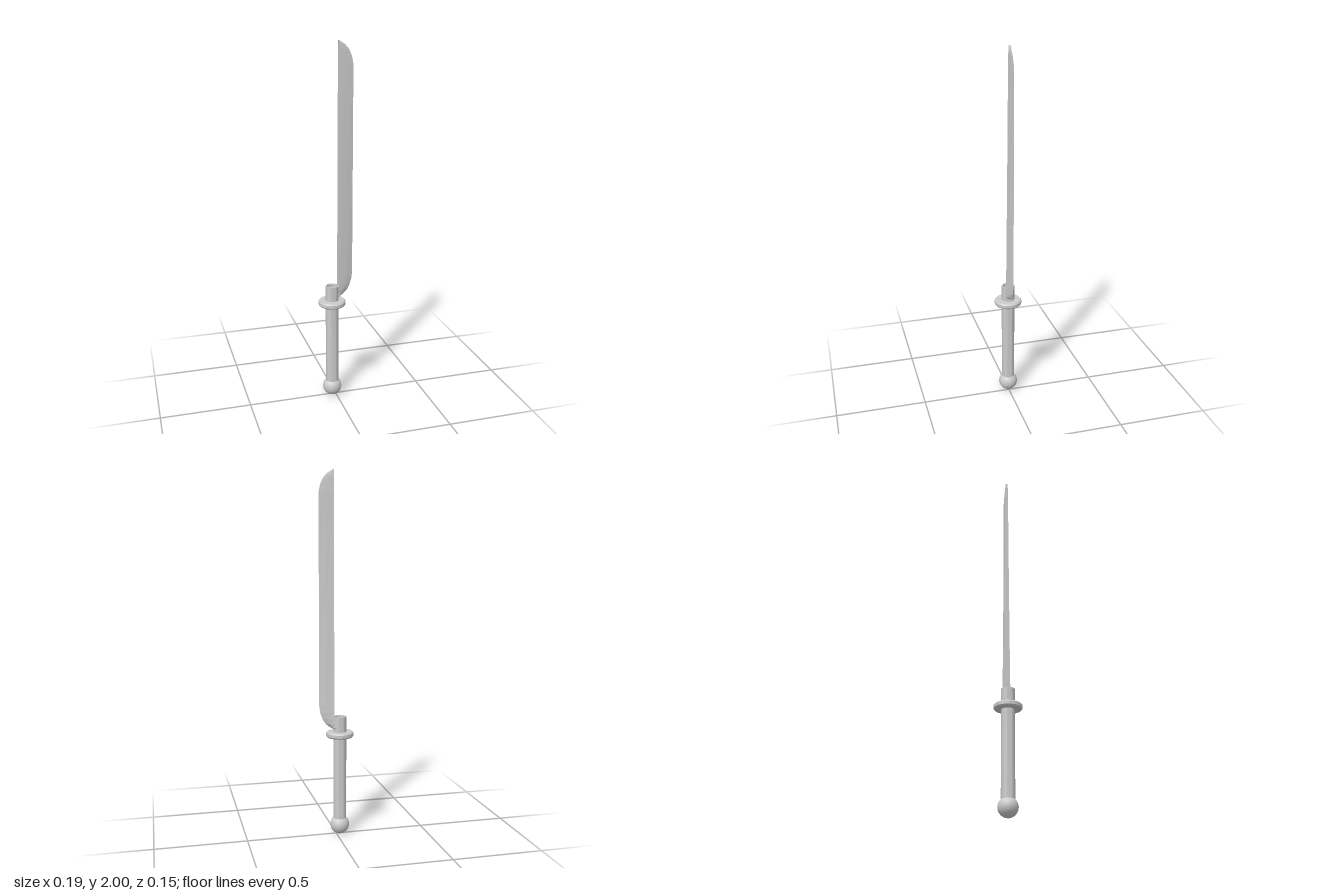
import * as THREE from 'three';
import { toCreasedNormals } from 'three/addons/utils/BufferGeometryUtils.js';

const AXIS_X = -0.02; // centre line of the handle

export function createModel() {
  const group = new THREE.Group();
  const smooth = new THREE.MeshStandardMaterial({ color: 0xcccccc });
  const faceted = new THREE.MeshStandardMaterial({ color: 0xcccccc, flatShading: true });

  const add = (name, geometry, material, x = 0, y = 0) => {
    const mesh = new THREE.Mesh(geometry, material);
    mesh.name = name;
    mesh.position.set(x, y, 0);
    group.add(mesh);
  };
  const turned = (points, sides) => toCreasedNormals(
    new THREE.LatheGeometry(points.map(([r, y]) => new THREE.Vector2(r, y)), sides), 0.6);

  // Round pommel
  add('pommel', new THREE.SphereGeometry(0.053, 24, 16), smooth, AXIS_X, 0.053);

  // Handle with a hollow socket at its top end
  add('grip', turned([[0, 0.06], [0.036, 0.06], [0.036, 0.67], [0.029, 0.67], [0.029, 0.6], [0, 0.6]], 24), smooth, AXIS_X);

  // Disc guard with bevelled rim
  add('guard', turned([[0.03, 0.556], [0.07, 0.556], [0.076, 0.563], [0.076, 0.579], [0.07, 0.586], [0.03, 0.586]], 20), smooth, AXIS_X);

  // Single-edged blade: a wedge section that thins towards the tip
  add('blade', bladeGeometry(), faceted);
  return group;
}

function bladeGeometry() {
  // Each row: height, spine x, cutting edge x, half thickness of the spine
  const rows = [
    [0.6, 0.008, 0.012, 0.024], [0.612, 0.008, 0.036, 0.024], [0.632, 0.01, 0.06, 0.023],
    [0.66, 0.013, 0.078, 0.022], [0.695, 0.015, 0.09, 0.021], [0.735, 0.015, 0.096, 0.02],
    [1.3, 0.015, 0.096, 0.014], [1.88, 0.015, 0.096, 0.009], [1.92, 0.015, 0.088, 0.008],
    [1.955, 0.015, 0.072, 0.008], [1.98, 0.015, 0.05, 0.007], [2, 0.015, 0.018, 0.006],
  ];
  const positions = [], index = [], n = 5;
  for (const [y, spine, edge, t] of rows) {
    const ridge = spine + (edge - spine) * 0.55;
    positions.push(spine, y, t, ridge, y, t * 0.55, edge, y, 0, ridge, y, -t * 0.55, spine, y, -t);
  }
  for (let r = 0; r < rows.length - 1; r++) {
    for (let i = 0; i < n; i++) {
      const a = r * n + i, b = r * n + (i + 1) % n;
      index.push(a, b, b + n, a, b + n, a + n);
    }
  }
  // End caps
  const top = (rows.length - 1) * n;
  for (let i = 1; i < n - 1; i++) index.push(0, i + 1, i, top, top + i, top + i + 1);

  const geometry = new THREE.BufferGeometry();
  geometry.setAttribute('position', new THREE.Float32BufferAttribute(positions, 3));
  geometry.setIndex(index);
  geometry.computeVertexNormals();
  return geometry;
}
